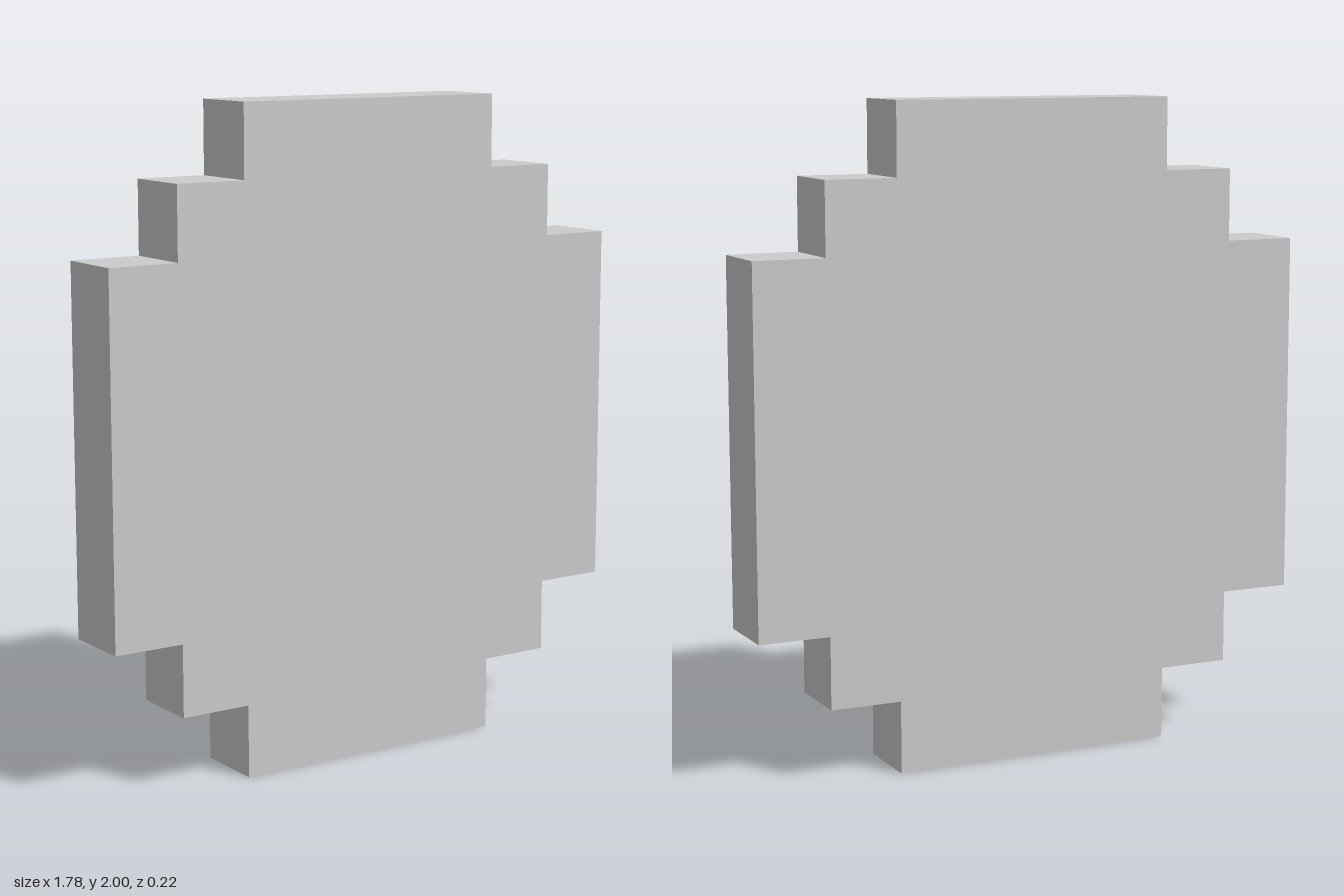
import * as THREE from 'three';

const U = 2 / 9; // side of one grid cell: the disc is 8 cells wide, 9 tall, 1 deep

export function createModel() {
  const group = new THREE.Group();
  group.name = 'steppedDisc';

  // Right half of the stepped outline in cells, bottom to top
  const half = [
    [2, 0], [2, 1], [3, 1], [3, 2], [4, 2],
    [4, 7], [3, 7], [3, 8], [2, 8], [2, 9],
  ];
  // Mirror it for the left half, running back down
  const outline = [...half, ...half.map(([x, y]) => [-x, y]).reverse()];
  const shape = new THREE.Shape(outline.map(([x, y]) => new THREE.Vector2(x * U, y * U)));

  // One solid slab, centred in depth
  const geometry = new THREE.ExtrudeGeometry(shape, { depth: U, bevelEnabled: false });
  geometry.translate(0, 0, -U / 2);

  const disc = new THREE.Mesh(
    geometry,
    new THREE.MeshStandardMaterial({ color: 0xcccccc, flatShading: true })
  );
  disc.name = 'disc';
  group.add(disc);
  return group;
}
